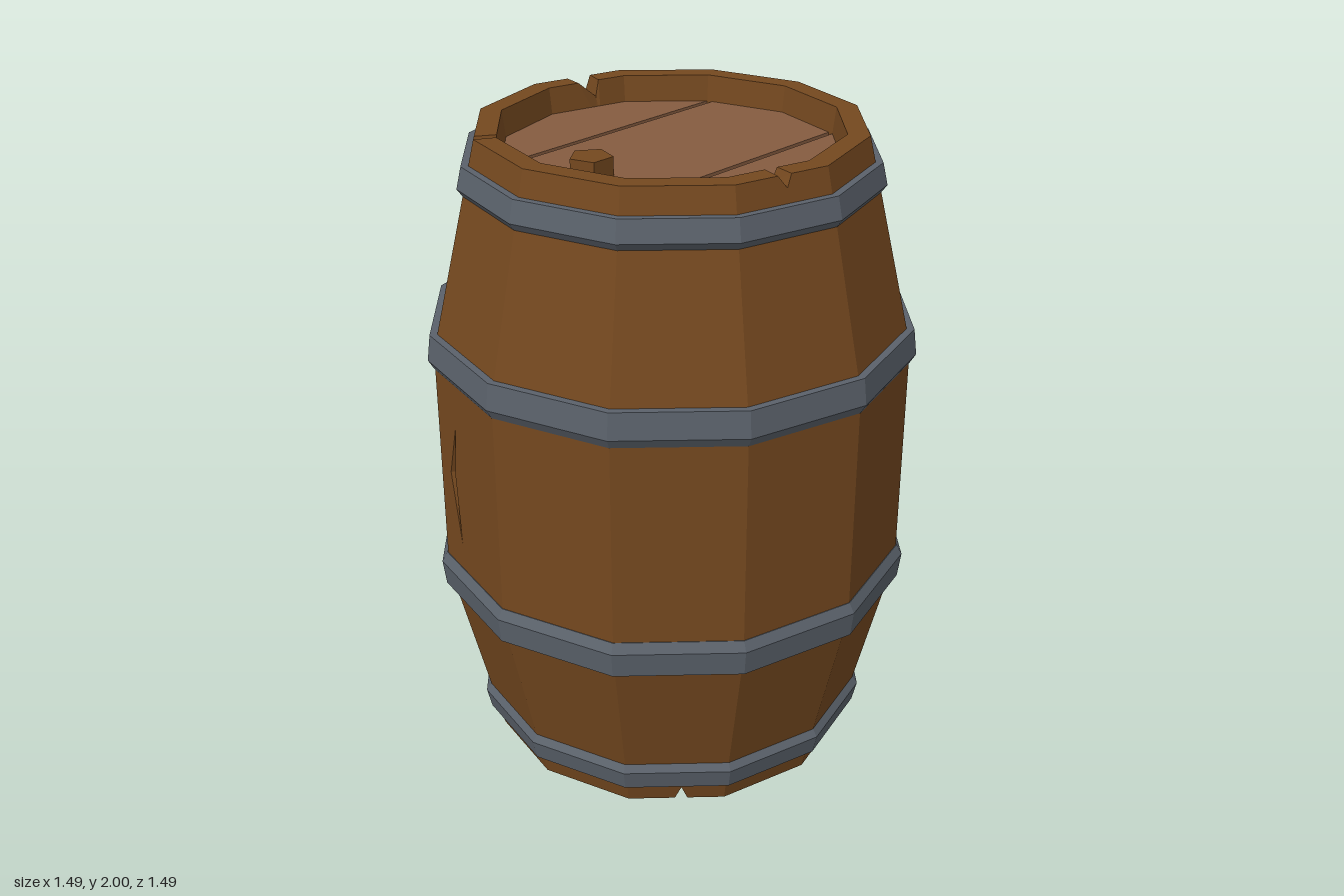
import * as THREE from 'three';

const SIDES = 12;
const STEP = 360 / SIDES;
const HALF = THREE.MathUtils.degToRad(STEP / 2);
const KNEE_Y = 1.37, KNEE_R = 0.725, RIM_R = 0.575;

const paint = (color) => new THREE.MeshStandardMaterial({ color, flatShading: true });
const wood = paint(0x74481f);
const lidWood = paint(0x855c40);
const gapWood = paint(0x3f281a);
const iron = paint(0x5a616a);

function addMesh(parent, name, geometry, material) {
  const mesh = new THREE.Mesh(geometry, material);
  mesh.name = name;
  parent.add(mesh);
  return mesh;
}

function fromTriangles(points) {
  const geo = new THREE.BufferGeometry();
  geo.setAttribute('position', new THREE.Float32BufferAttribute(points.flat(), 3));
  geo.computeVertexNormals();
  return geo;
}

// Point on a twelve-sided outline; corners lie at multiples of 30 degrees
function outlinePoint(deg, r, y) {
  const a = THREE.MathUtils.degToRad(deg);
  const within = THREE.MathUtils.degToRad(((deg % STEP) + STEP) % STEP);
  const k = r * Math.cos(HALF) / Math.cos(within - HALF);
  return [k * Math.cos(a), y, k * Math.sin(a)];
}

// Sweep a profile of [radius, y] around the outline; lower mirrors it about y = 1
function loft(angles, profileAt, lower) {
  const rows = angles.map((a) => profileAt(a).map(([r, y]) => outlinePoint(a, r, lower ? 2 - y : y)));
  const tris = [];
  rows.forEach((row, i) => {
    const next = rows[(i + 1) % rows.length];
    for (let j = 0; j < row.length - 1; j++) {
      const quad = [[row[j], row[j + 1], next[j + 1]], [row[j], next[j + 1], next[j]]];
      quad.forEach(([a, b, c]) => tris.push(a, ...(lower ? [c, b] : [b, c])));
    }
  });
  return fromTriangles(tris);
}

const corners = Array.from({ length: SIDES }, (_, i) => i * STEP);

// Tapered staves with a chipped rim; notches are [start, deepest, end, depth]
function taperedStaves(notches, lower) {
  const depthAt = new Map(corners.map((a) => [a, 0]));
  notches.forEach(([start, apex, end, depth]) => {
    depthAt.set(start, 0).set(apex, depth).set(end, 0);
  });
  const angles = [...depthAt.keys()].sort((a, b) => a - b);
  const slope = (KNEE_R - RIM_R) / (2 - KNEE_Y);
  return loft(angles, (a) => {
    const d = depthAt.get(a);
    return [[KNEE_R, KNEE_Y], [RIM_R + slope * d, 2 - d], [0.51, 2 - d], [0.495, 1.88]];
  }, lower);
}

// Straight middle staves, one with a crescent-shaped crack
function middleStaves() {
  const group = new THREE.Group();
  group.name = 'middleStaves';
  const w = KNEE_R * Math.sin(HALF), apothem = KNEE_R * Math.cos(HALF);
  const crack = [[-0.071, 1.165], [-0.123, 1], [-0.071, 0.775], [-0.092, 1]];
  for (let i = 0; i < SIDES; i++) {
    const shape = new THREE.Shape([[-w, 2 - KNEE_Y], [w, 2 - KNEE_Y], [w, KNEE_Y], [-w, KNEE_Y]]
      .map((p) => new THREE.Vector2(...p)));
    const stave = new THREE.Group();
    stave.name = 'stave';
    if (i === 0) {
      shape.holes.push(new THREE.Path(crack.map((p) => new THREE.Vector2(...p))));
      const walls = crack.flatMap((p, j) => [[...p, 0], [...crack[(j + 1) % 4], 0], [-0.104, 1, -0.04]]);
      addMesh(stave, 'crack', fromTriangles(walls), wood);
    }
    addMesh(stave, 'stavePanel', new THREE.ShapeGeometry(shape), wood);
    const angle = -HALF + i * 2 * HALF;
    stave.rotation.y = angle;
    stave.position.set(apothem * Math.sin(angle), 0, apothem * Math.cos(angle));
    group.add(stave);
  }
  return group;
}

// Recessed lid: three planks over a dark backing
function lid() {
  const group = new THREE.Group();
  group.name = 'lid';
  const side = [-60, -30, 0, 30, 60].map((a) => outlinePoint(a, 0.5, 0)).map(([x, , z]) => [x, z]);
  const middle = [[-0.233, -0.437], [0, -0.5], [0.233, -0.437], [0.233, 0.437], [0, 0.5], [-0.233, 0.437]];
  const planks = [side, middle, side.map(([x, z]) => [-x, z])];
  planks.forEach((outline) => {
    const shape = new THREE.Shape(outline.map((p) => new THREE.Vector2(...p)));
    const geo = new THREE.ExtrudeGeometry(shape, { depth: 0.02, bevelEnabled: false });
    geo.rotateX(-Math.PI / 2);
    addMesh(group, 'lidPlank', geo, lidWood).position.y = 1.9;
  });
  const backing = new THREE.CylinderGeometry(0.5, 0.5, 0.01, SIDES);
  addMesh(group, 'lidBacking', backing, gapWood).position.y = 1.898;
  return group;
}

export function createModel() {
  const barrel = new THREE.Group();
  barrel.name = 'barrel';

  const topNotches = [[12, 13.8, 16.5, 0.035], [120, 121.2, 122.8, 0.045], [191.5, 198.5, 199.7, 0.05]];
  const bottomNotches = [[41.5, 43.5, 45.5, 0.05], [240, 242, 244, 0.05], [311.5, 313.5, 315.5, 0.05]];
  addMesh(barrel, 'upperStaves', taperedStaves(topNotches, false), wood);
  addMesh(barrel, 'lowerStaves', taperedStaves(bottomNotches, true), wood);
  barrel.add(middleStaves());

  // Iron hoops, mirrored top to bottom
  const hoops = {
    endHoop: [[0.59, 1.835], [0.612, 1.835], [0.63, 1.86], [0.615, 1.925], [0.58, 1.925]],
    bellyHoop: [[0.71, 1.315], [0.727, 1.315], [0.745, 1.345], [0.735, 1.425], [0.7, 1.425]],
  };
  for (const [name, profile] of Object.entries(hoops)) {
    for (const lower of [false, true]) addMesh(barrel, name, loft(corners, () => profile, lower), iron);
  }

  const topLid = lid();
  const bottomLid = lid();
  bottomLid.name = 'base';
  bottomLid.rotation.x = Math.PI;
  bottomLid.position.y = 2;
  barrel.add(topLid, bottomLid);

  // Five-sided stopper in the lid
  const bung = new THREE.CylinderGeometry(0.064, 0.064, 0.06, 5, 1, false, -Math.PI / 2);
  addMesh(barrel, 'bung', bung, wood).position.set(-0.003, 1.945, 0.32);

  return barrel;
}
